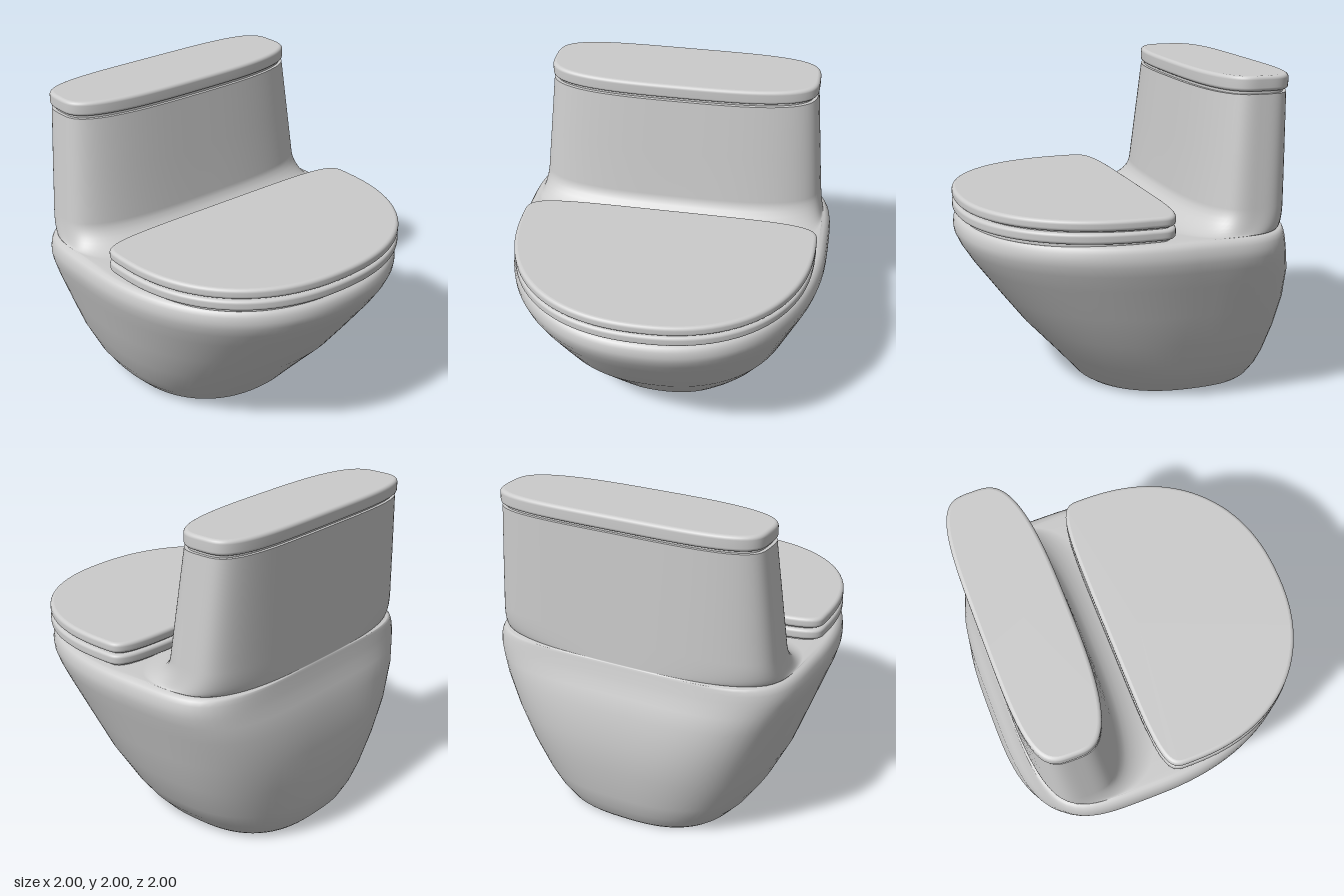
import * as THREE from 'three';

const SEG = 112;
const { lerp } = THREE.MathUtils;

// Closed outline: half-width w, front z, back z, z of widest point, squareness front / back
function outline([y, w, zf, zb, zc, nf, nb]) {
  const pts = [];
  for (let i = 0; i < SEG; i++) {
    const a = (i / SEG) * Math.PI * 2;
    const c = Math.cos(a), s = Math.sin(a);
    const n = s >= 0 ? nf : nb;
    const r = 1 / Math.pow(Math.abs(c) ** n + Math.abs(s) ** n, 1 / n);
    pts.push([w * c * r, y, zc + s * r * (s >= 0 ? zf - zc : zc - zb)]);
  }
  return pts;
}

// Skin through the sections, bottom to top, closed by flat caps with crisp edges
function loft(sections) {
  const pos = [], idx = [];
  const addRing = (s) => {
    const start = pos.length / 3;
    outline(s).forEach((p) => pos.push(...p));
    return start;
  };
  sections.forEach((s, k) => {
    const b = addRing(s), a = b - SEG;
    if (k === 0) return;
    for (let i = 0; i < SEG; i++) {
      const j = (i + 1) % SEG;
      idx.push(a + i, b + i, a + j, a + j, b + i, b + j);
    }
  });
  const cap = (s, up) => {
    const start = addRing(s), centre = pos.length / 3;
    pos.push(0, s[0], s[4]);
    for (let i = 0; i < SEG; i++) {
      const j = (i + 1) % SEG;
      idx.push(centre, start + (up ? j : i), start + (up ? i : j));
    }
  };
  cap(sections[0], false);
  cap(sections[sections.length - 1], true);
  const g = new THREE.BufferGeometry();
  g.setAttribute('position', new THREE.Float32BufferAttribute(pos, 3));
  g.setIndex(idx);
  g.computeVertexNormals();
  return g;
}

// Flat slab with rounded upper and lower edges
function slab(y0, y1, r, [w, zf, zb, zc, nf, nb]) {
  const sections = [];
  const steps = 5;
  for (let top = 0; top < 2; top++) {
    for (let i = 0; i <= steps; i++) {
      const a = ((top ? i : steps - i) / steps) * Math.PI / 2;
      const d = top ? r * (1 - Math.cos(a)) : r * (1 - Math.cos(a));
      const h = r * (1 - Math.sin(a));
      sections.push([top ? y1 - r + r * Math.sin(a) : y0 + h, w - d, zf - d, zb + d, zc, nf, nb]);
    }
  }
  return loft(sections);
}

// Bowl: profile rows of height, half-width, front z, back z; it grows squarer at the back with height
function bowlSections() {
  const profile = [
    [0, 0.54, 0.22, -0.86],
    [0.02, 0.565, 0.25, -0.88],
    [0.1, 0.64, 0.32, -0.92],
    [0.2, 0.71, 0.41, -0.95],
    [0.4, 0.81, 0.595, -0.985],
    [0.6, 0.88, 0.75, -1],
    [0.8, 0.95, 0.9, -0.975],
    [0.9, 0.985, 0.965, -0.94],
    [0.96, 1, 0.993, -0.92],
    [1.0, 1, 1, -0.91],
    [1.04, 0.993, 0.995, -0.9],
    [1.065, 0.978, 0.98, -0.895],
    [1.077, 0.96, 0.955, -0.892],
    [1.08, 0.945, 0.92, -0.89],
  ];
  return profile.map(([y, w, zf, zb]) => [y, w, zf, zb, lerp(-0.35, -0.2, y), 2.25, 2.7 + 1.7 * y * y]);
}

// Tank: straight taper whose foot flares out to meet the deck
function tankSections() {
  const section = (y, flare) => {
    const t = (y - 1.2) / 0.7;
    return [y, 0.91 - 0.065 * t + 0.02 * flare, -0.3 - 0.08 * t + 0.27 * flare, -0.888,
      -0.6 - 0.04 * t + 0.13 * flare, 3 - 0.4 * flare, 3.4 + 0.6 * t - 0.2 * flare];
  };
  const sections = [];
  for (let i = 0; i <= 8; i++) {
    const a = (i / 8) * Math.PI / 2;
    sections.push(section(1.083 + 0.15 * (1 - Math.cos(a)), 1 - Math.sin(a)));
  }
  sections.push(section(1.55, 0), section(1.895, 0));
  return sections;
}

export function createModel() {
  const group = new THREE.Group();
  const material = new THREE.MeshStandardMaterial({ color: 0xcccccc });
  const add = (name, geometry) => {
    const mesh = new THREE.Mesh(geometry, material);
    mesh.name = name;
    group.add(mesh);
  };

  // Bowl, deck and tank flow together as one skin
  add('bowlAndTank', loft([...bowlSections(), ...tankSections()]));

  // Tank lid above a narrow recessed seam
  add('lidSeam', slab(1.88, 1.93, 0.004, [0.825, -0.4, -0.87, -0.64, 3, 4]));
  add('tankLid', slab(1.91, 2.0, 0.022, [0.85, -0.38, -0.9, -0.64, 3, 4]));

  // Seat and its cover, with thin spacers filling the seams
  const seat = [0.935, 1.0, -0.15, 0.05, 2.25, 5];
  const spacer = [0.9, 0.96, -0.12, 0.05, 2.25, 5];
  add('seatSpacer', slab(1.07, 1.11, 0.004, spacer));
  add('seat', slab(1.095, 1.16, 0.02, seat));
  add('coverSpacer', slab(1.15, 1.18, 0.004, spacer));
  add('seatCover', slab(1.17, 1.235, 0.022, seat));

  return group;
}
